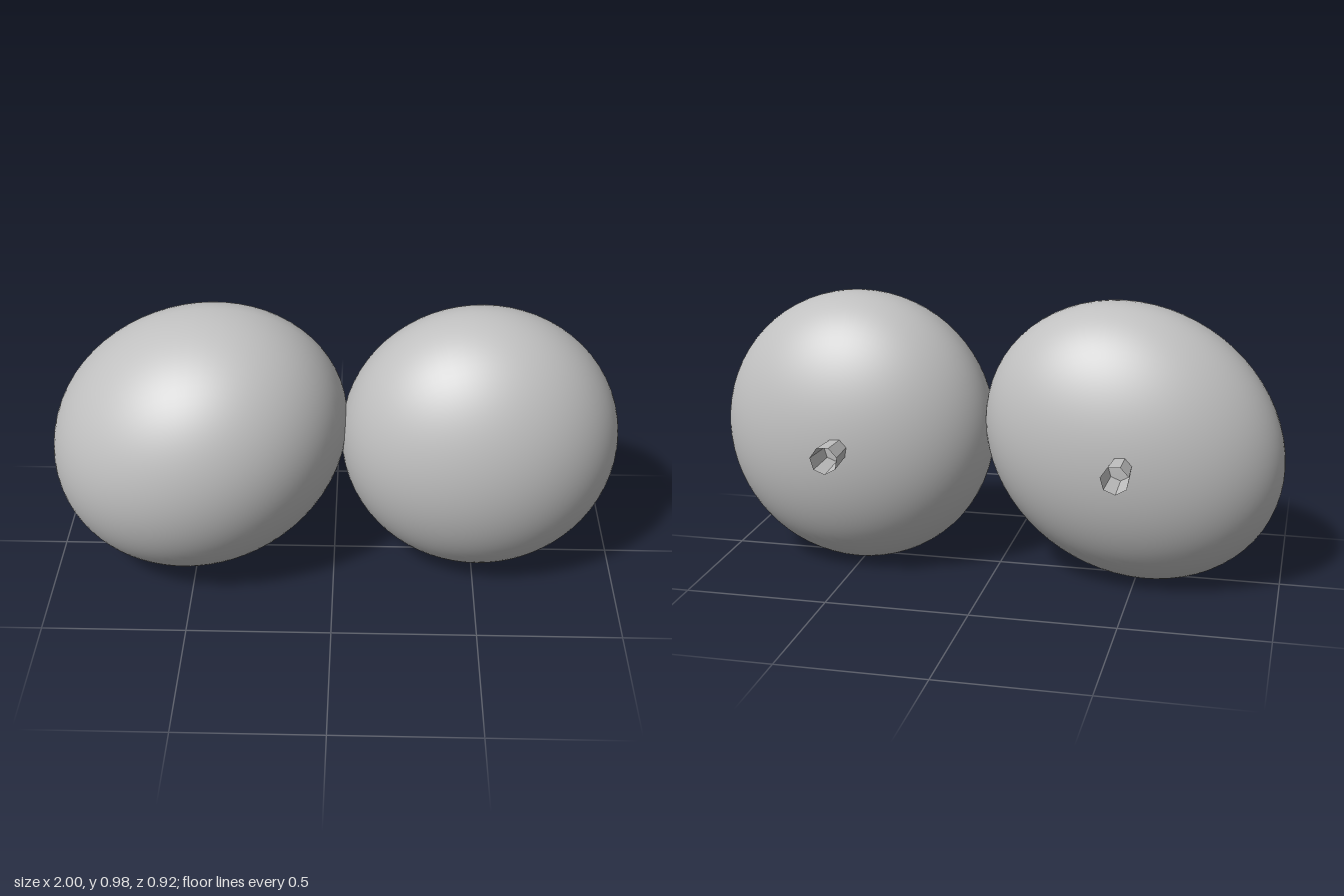
import * as THREE from 'three';

const EQUATOR_Z = -0.01;
const CENTRE_Y = 0.495;

// Smooth ellipsoid whose front half is deeper than its back half
function eggGeometry(rx, ry, front, back) {
  const geo = new THREE.SphereGeometry(1, 64, 48);
  geo.rotateX(Math.PI / 2);
  const pos = geo.attributes.position;
  const nor = geo.attributes.normal;
  const n = new THREE.Vector3();
  for (let i = 0; i < pos.count; i++) {
    const x = pos.getX(i), y = pos.getY(i), z = pos.getZ(i);
    const rz = z > 0 ? front : back;
    pos.setXYZ(i, x * rx, y * ry, z * rz);
    n.set(x / rx, y / ry, z / rz).normalize();
    nor.setXYZ(i, n.x, n.y, n.z);
  }
  return geo;
}

// Seven-sided open tube, flaring toward the back
function stemGeometry() {
  const geo = new THREE.CylinderGeometry(0.0485, 0.038, 0.16, 7, 1, true,
    THREE.MathUtils.degToRad(81), Math.PI * 2);
  geo.rotateX(-Math.PI / 2);
  return geo.toNonIndexed();
}

export function createModel() {
  const group = new THREE.Group();
  group.name = 'twinPods';

  const shell = new THREE.MeshStandardMaterial({ color: 0xc0c0c0 });
  shell.name = 'grey shell';
  shell.side = THREE.DoubleSide;

  const pods = [
    { side: 'right', x: -0.477, rx: 0.541, ry: 0.469, front: 0.465, tilt: 0.55, stemX: -0.475 },
    { side: 'left', x: 0.511, rx: 0.487, ry: 0.491, front: 0.375, tilt: 0, stemX: 0.503 },
  ];

  for (const p of pods) {
    // Rounded pod
    const pod = new THREE.Mesh(eggGeometry(p.rx, p.ry, p.front, 0.325), shell);
    pod.name = p.side + 'Pod';
    pod.position.set(p.x, CENTRE_Y, EQUATOR_Z);
    pod.rotation.z = p.tilt;
    group.add(pod);

    // Stem on the back, with faceted sides
    const geo = stemGeometry();
    geo.computeVertexNormals();
    const stem = new THREE.Mesh(geo, shell);
    stem.name = p.side + 'Stem';
    stem.position.set(p.stemX, CENTRE_Y, -0.38);
    group.add(stem);
  }
  return group;
}
